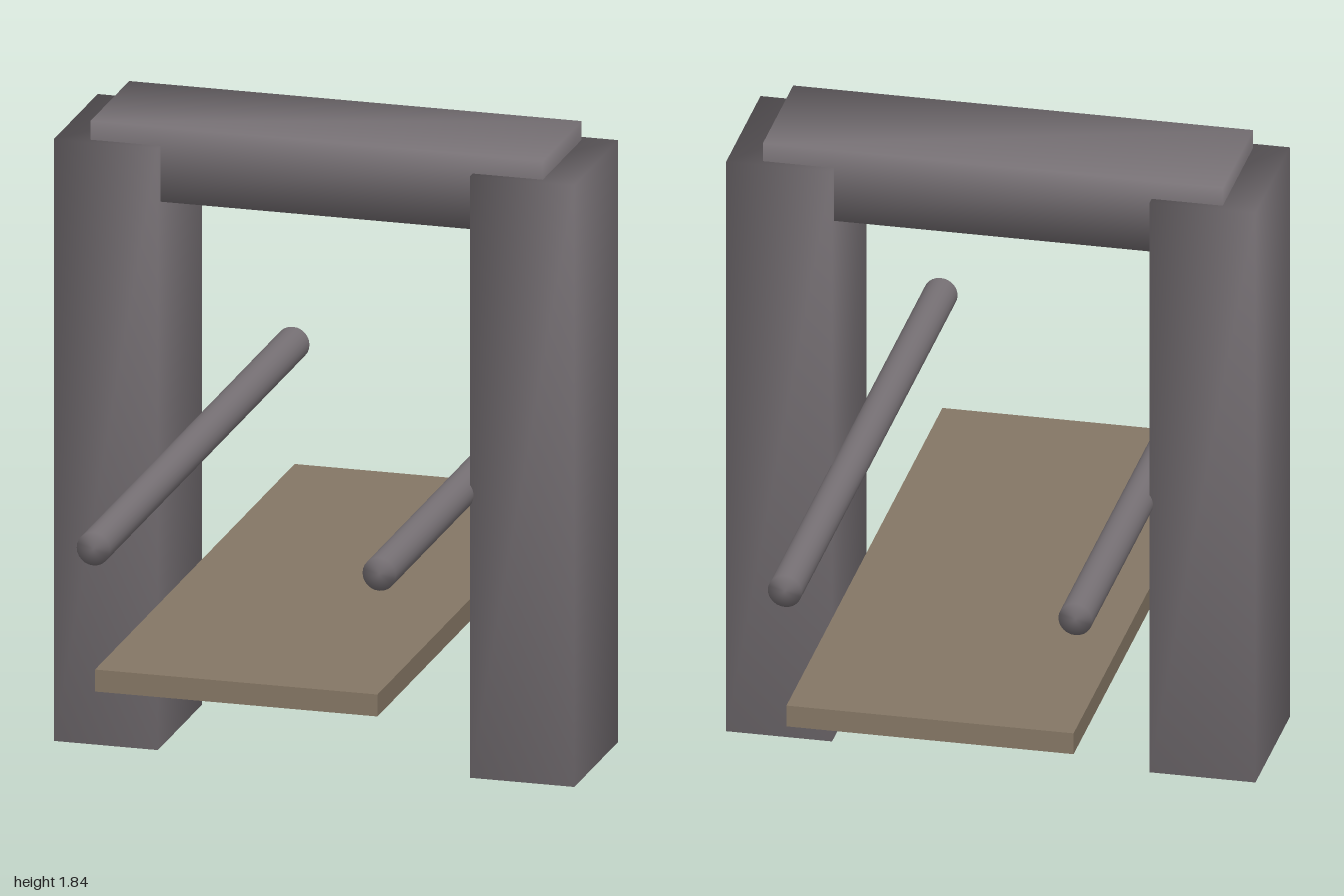
import * as THREE from 'three';
import { mergeVertices } from 'three/addons/utils/BufferGeometryUtils.js';

// Share corner vertices so the shading rolls softly over every edge
function soften(geometry) {
  geometry.deleteAttribute('normal');
  geometry.deleteAttribute('uv');
  const merged = mergeVertices(geometry, 1e-4);
  merged.computeVertexNormals();
  return merged;
}

export function createModel() {
  const model = new THREE.Group();
  model.name = 'gateway';

  const grey = new THREE.MeshStandardMaterial({ color: 0x777175 });
  grey.name = 'stone grey';
  const brown = new THREE.MeshStandardMaterial({ color: 0x857765 });
  brown.name = 'plank brown';

  function add(name, geometry, material, x, y, z) {
    const mesh = new THREE.Mesh(geometry, material);
    mesh.name = name;
    mesh.position.set(x, y, z);
    model.add(mesh);
    return mesh;
  }

  // Pillars and handrails, one of each per side
  const pillar = soften(new THREE.BoxGeometry(0.306, 1.78, 0.44));
  const rail = soften(new THREE.CylinderGeometry(0.049, 0.049, 2, 24));
  rail.rotateX(Math.PI / 2);
  for (const [side, s] of [['left', 1], ['right', -1]]) {
    add(side + 'Pillar', pillar, grey, s * 0.612, 0.89, 0);
    add(side + 'Rail', rail, grey, s * 0.42, 0.836, 0);
  }

  // Lintel let into the pillar tops
  add('lintel', soften(new THREE.BoxGeometry(1.33, 0.22, 0.39)), grey, 0, 1.725, 0);

  // Walkway between the pillars
  add('deck', new THREE.BoxGeometry(0.83, 0.065, 2), brown, 0, 0.447, 0);

  return model;
}
